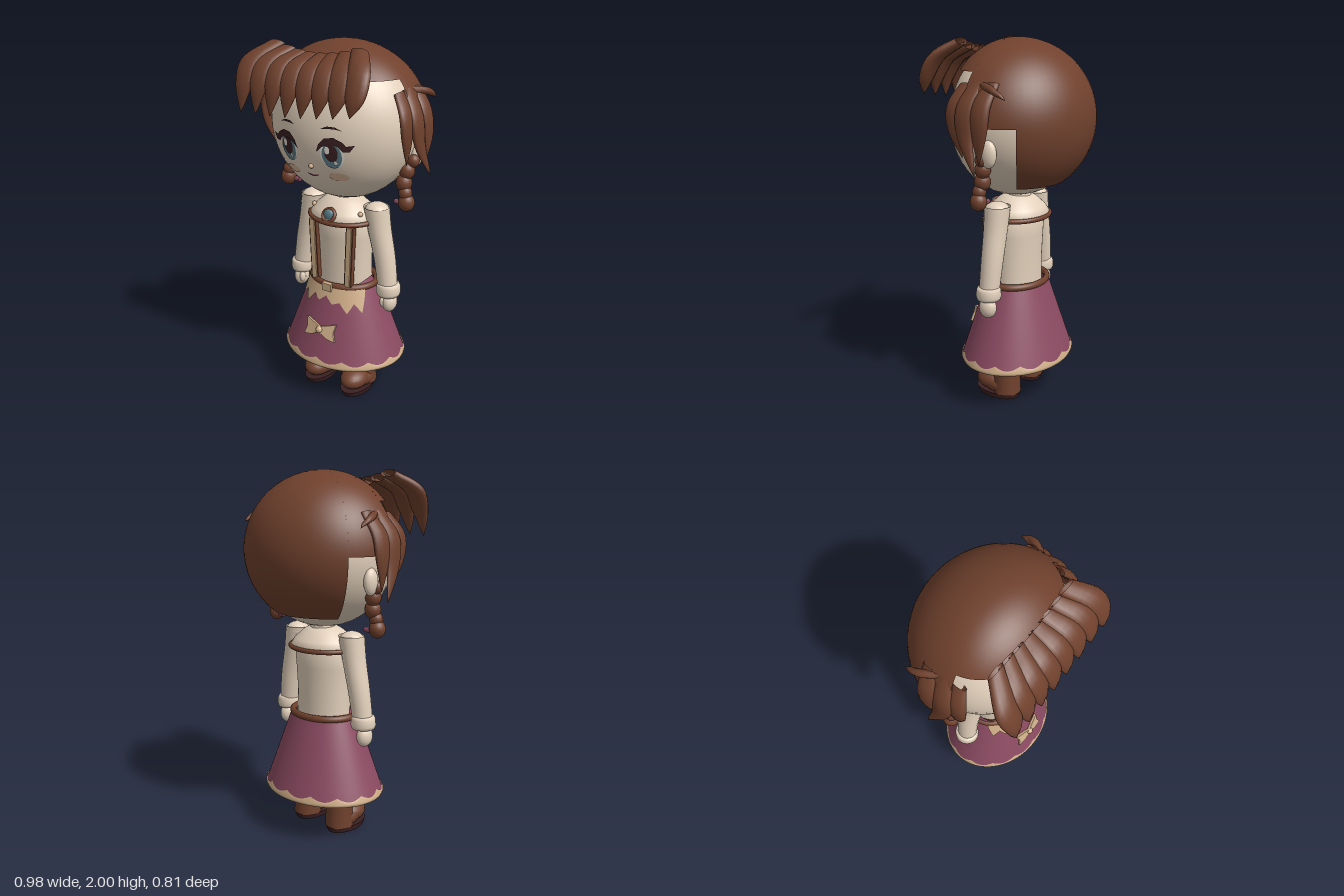
import * as THREE from 'three';
import { mergeVertices } from 'three/addons/utils/BufferGeometryUtils.js';

const flat = (name, color) => new THREE.MeshStandardMaterial({ name, color, side: THREE.DoubleSide });
const V = (x, y, z) => new THREE.Vector3(x, y, z);
const HEAD_Y = 1.58;

// Grid surface from a rule f(u, v), with u and v from 0 to 1
function sheet(f, nu, nv) {
  const pos = [], index = [];
  for (let j = 0; j <= nv; j++) for (let i = 0; i <= nu; i++) pos.push(...f(i / nu, j / nv));
  for (let j = 0; j < nv; j++) for (let i = 0; i < nu; i++) {
    const a = j * (nu + 1) + i, c = a + nu + 1;
    index.push(a, a + 1, c, a + 1, c + 1, c);
  }
  let g = new THREE.BufferGeometry();
  g.setAttribute('position', new THREE.Float32BufferAttribute(pos, 3));
  g.setIndex(index);
  g = mergeVertices(g);
  g.computeVertexNormals();
  return g;
}

// Part of an egg-shaped shell around the head; angles are measured from the front
function headShell(rx, ry, rzFront, rzBack, from, to, yMin) {
  const theta = Math.acos(Math.max(-1, (yMin - HEAD_Y) / ry));
  const g = new THREE.SphereGeometry(1, Math.ceil((to - from) * 9), 28, Math.PI / 2 + from, to - from, 0, theta);
  const p = g.attributes.position, n = g.attributes.normal;
  for (let i = 0; i < p.count; i++) {
    const rz = p.getZ(i) > 0 ? rzFront : rzBack;
    const m = V(n.getX(i) / rx, n.getY(i) / ry, n.getZ(i) / rz).normalize();
    p.setXYZ(i, p.getX(i) * rx, p.getY(i) * ry + HEAD_Y, p.getZ(i) * rz);
    n.setXYZ(i, m.x, m.y, m.z);
  }
  return g;
}

// Tapered hair strand with an oval cross-section
function strand(points, width, thick, side) {
  const curve = new THREE.CatmullRomCurve3(points.map(p => V(...p)));
  return sheet((u, v) => {
    const a = -u * Math.PI * 2, k = (1 - v ** 4) * (0.75 + 0.25 * Math.sin(Math.PI * v));
    const n = curve.getTangent(v).cross(side).normalize();
    return curve.getPoint(v).addScaledVector(side, Math.cos(a) * width * k)
      .addScaledVector(n, Math.sin(a) * thick * k).toArray();
  }, 12, 14);
}

// Lays a flat face detail onto the front of the head
function onFace(g, lift) {
  const p = g.attributes.position;
  for (let i = 0; i < p.count; i++) {
    const x = p.getX(i), y = p.getY(i);
    p.setZ(i, 0.33 * Math.sqrt(Math.max(0, 1 - (x / 0.41) ** 2 - ((y - HEAD_Y) / 0.41) ** 2)) + lift);
  }
  g.computeVertexNormals();
  return g;
}
const oval = (x, y, rx, ry, lift) =>
  onFace(new THREE.CircleGeometry(1, 24).scale(rx, ry, 1).translate(x, y, 0), lift);
const outline = (pts, s = 1) => new THREE.Shape(pts.map(([x, y]) => new THREE.Vector2(s * x, y)));
const decal = (pts, s, lift) => onFace(new THREE.ShapeGeometry(outline(pts, s)), lift);

// Point on the oval skirt cone
function skirtPoint(a, y, lift = 0) {
  const r = 0.19 + 0.38 * (0.7 - y) + lift;
  return [Math.sin(a) * r, y, Math.cos(a) * r * 0.82];
}
const lathe = (pts, zScale) =>
  new THREE.LatheGeometry(pts.map(p => new THREE.Vector2(...p)), 40).scale(1, 1, zScale);
const ball = (x, y, z, rx, ry, rz) => new THREE.SphereGeometry(1, 20, 14).scale(rx, ry, rz).translate(x, y, z);
const hoop = (y, r, tube, zScale) =>
  new THREE.TorusGeometry(r, tube, 10, 48).rotateX(Math.PI / 2).scale(1, 1, zScale).translate(0, y, 0);

export function createModel() {
  const root = new THREE.Group();
  const skin = flat('skin and linen', 0xe2d0bb), brown = flat('hair and leather', 0x70412d);
  const plum = flat('plum cloth', 0x8c4b62), tan = flat('tan trim', 0xcfae88);
  const dark = flat('dark lashes and soles', 0x3b2022), teal = flat('teal', 0x5b7d88);
  const white = flat('eye white', 0xeee8e0), blush = flat('blush', 0xd8b395);
  const add = (name, geometry, material, parent = root) => {
    const m = new THREE.Mesh(geometry, material);
    m.name = name;
    parent.add(m);
    return m;
  };
  const TAU = Math.PI * 2;

  // Head and stepped hair cap
  add('head', headShell(0.41, 0.41, 0.33, 0.385, 0, TAU, 1.17), skin);
  const edge = 1.4, nape = 2.13;
  const cap = (from, to, yMin) => add('hairCap', headShell(0.45, 0.42, 0.345, 0.415, from, to, yMin), brown);
  cap(-edge, edge, 1.84);
  cap(edge, nape, 1.58);
  cap(-nape, -edge, 1.58);
  cap(nape, TAU - nape, 1.25);

  // Swept fringe
  for (let i = 0; i < 8; i++) {
    const t = i / 7, bow = (2 * t - 1) ** 2;
    const top = -0.27 + 0.49 * t, tip = -0.365 + 0.655 * t;
    add('fringeStrand', strand([
      [top, 1.935 + 0.045 * bow, 0.2],
      [top * 0.5 + tip * 0.5 + 0.06 * (t - 0.5), 1.885 + 0.015 * bow, 0.31],
      [tip + 0.01, 1.79, 0.37],
      [tip, 1.65 + 0.06 * t * t, 0.395]], 0.066, 0.032, V(1, 0, 0)), brown);
  }

  // Facial features in the middle
  add('nose', ball(0, 1.41, 0.302, 0.013, 0.013, 0.012), blush);
  add('mouth', decal([[-0.037, 1.366], [0, 1.361], [0.037, 1.366], [0.02, 1.354], [0, 1.35], [-0.02, 1.354]], 1, 0.006), plum);

  for (const s of [1, -1]) {
    // Eye, lashes, brow and cheek
    add('eyeWhite', oval(s * 0.13, 1.49, 0.06, 0.072, 0.004), white);
    add('iris', oval(s * 0.13, 1.485, 0.05, 0.068, 0.007), teal);
    add('pupil', oval(s * 0.13, 1.5, 0.034, 0.046, 0.01), dark);
    add('eyeGlint', oval(s * 0.13 - 0.018, 1.515, 0.014, 0.02, 0.013), white);
    add('eyeGlint', oval(s * 0.13 + 0.02, 1.45, 0.01, 0.012, 0.013), white);
    add('lashes', decal([[0.055, 1.5], [0.072, 1.545], [0.105, 1.577], [0.15, 1.582], [0.19, 1.562], [0.207, 1.542],
      [0.245, 1.548], [0.222, 1.515], [0.192, 1.512], [0.17, 1.538], [0.13, 1.548], [0.09, 1.532]], s, 0.015), dark);
    add('eyebrow', decal([[0.075, 1.617], [0.11, 1.633], [0.15, 1.632], [0.185, 1.615], [0.15, 1.622], [0.11, 1.622]], s, 0.007), dark);
    add('cheek', oval(s * 0.14, 1.365, 0.05, 0.024, 0.004), blush);

    // Ear, side locks and braid
    add('ear', ball(s * 0.395, 1.45, -0.07, 0.03, 0.07, 0.045), skin);
    const lock = (pts, w) => add('sideLock',
      strand(pts.map(([x, y, z]) => [s * x, y, z]), w, 0.024, V(0, 0, 1)), brown);
    lock([[0.36, 1.78, 0.07], [0.42, 1.68, 0.1], [0.43, 1.56, 0.1], [0.415, 1.42, 0.07]], 0.055);
    lock([[0.37, 1.79, 0], [0.44, 1.67, 0.03], [0.46, 1.52, 0.02], [0.49, 1.35, -0.05]], 0.058);
    lock([[0.37, 1.79, -0.08], [0.44, 1.68, -0.06], [0.46, 1.55, -0.06], [0.45, 1.4, -0.05]], 0.055);
    lock([[0.38, 1.78, -0.04], [0.42, 1.76, -0.11], [0.43, 1.72, -0.19]], 0.04);
    for (const [x, y, z, r] of [[0.4, 1.42, -0.03, 0.032], [0.37, 1.365, -0.02, 0.042], [0.36, 1.3, -0.01, 0.043],
      [0.375, 1.25, 0, 0.036], [0.383, 1.2, 0, 0.044]])
      add('braid', ball(s * x, y, z, r, r * 1.1, r), brown);
    add('braidTie', new THREE.CylinderGeometry(0.014, 0.014, 0.09, 10).rotateZ(Math.PI / 2).translate(s * 0.355, 1.19, -0.01), plum);

    // Sleeve, cuff and hand
    const arm = new THREE.CatmullRomCurve3([V(s * 0.205, 1.14, 0), V(s * 0.225, 1.02, 0), V(s * 0.262, 0.85, 0), V(s * 0.288, 0.68, 0.005)]);
    add('sleeve', sheet((u, v) => {
      const p = arm.getPoint(v), r = 0.07 - 0.015 * v, a = u * TAU;
      return [p.x + Math.cos(a) * r, p.y, p.z + Math.sin(a) * r];
    }, 20, 14), skin);
    add('shoulder', ball(s * 0.208, 1.115, 0, 0.068, 0.05, 0.069), skin);
    add('cuff', lathe([[0.05, -0.035], [0.062, -0.033], [0.068, -0.015], [0.066, 0.02], [0.058, 0.036], [0.04, 0.036]], 1)
      .translate(s * 0.292, 0.677, 0.005), skin);
    add('hand', ball(s * 0.302, 0.598, 0.005, 0.04, 0.058, 0.05), skin);
    add('thumb', ball(s * 0.275, 0.605, 0.035, 0.017, 0.035, 0.02), skin);

    // Boot with sole
    add('bootShaft', lathe([[0, 0.42], [0.07, 0.42], [0.085, 0.41], [0.085, 0.37], [0.077, 0.36], [0.076, 0.12], [0.08, 0.03]], 1)
      .translate(s * 0.128, 0, -0.005), brown);
    add('bootToe', ball(s * 0.128, 0.083, 0.085, 0.078, 0.06, 0.1), brown);
    add('bootFoot', ball(s * 0.128, 0.07, 0.03, 0.079, 0.06, 0.115), brown);
    add('sole', new THREE.CylinderGeometry(0.083, 0.075, 0.032, 32).scale(1, 1, 1.68).translate(s * 0.128, 0.016, 0.05), dark);

    // Front strap and collar stud
    const strap = (w, d, z, mat) => {
      const m = add('strap', new THREE.BoxGeometry(w, 0.35, d), mat);
      m.position.set(s * 0.115, 0.865, z);
      m.rotation.z = -s * 0.04;
    };
    strap(0.045, 0.03, 0.122, brown);
    strap(0.03, 0.016, 0.136, tan);
    add('collarStud', ball(s * 0.15, 1.105, 0.075, 0.014, 0.014, 0.014), tan);
  }

  // Torso, neck and collar
  add('torso', lathe([[0.165, 0.66], [0.163, 0.8], [0.172, 0.95], [0.178, 1.03], [0.15, 1.08]], 0.77), skin);
  add('neck', new THREE.CylinderGeometry(0.06, 0.075, 0.12, 24, 1, true).translate(0, 1.16, -0.01), skin);
  add('collar', lathe([[0.17, 1.05], [0.203, 1.055], [0.172, 1.1], [0.12, 1.145], [0.085, 1.165], [0.06, 1.17]], 0.87), skin);
  add('collarTrim', hoop(1.055, 0.198, 0.013, 0.87), brown);
  add('broochRim', new THREE.TorusGeometry(0.036, 0.01, 8, 28).rotateX(-0.5).translate(0, 1.093, 0.152), brown);
  add('brooch', ball(0, 1.093, 0.15, 0.034, 0.034, 0.018), teal);

  // Skirt rising to points at the hips, with a scalloped hem
  add('skirt', sheet((u, v) => {
    const a = u * TAU, top = 0.69 + 0.035 * Math.max(0, Math.sin(a) ** 2 * 2 - 1) * (Math.cos(a) > 0 ? 1 : 0);
    return skirtPoint(a, top + (0.245 - top) * v);
  }, 64, 8), plum);
  add('hem', sheet((u, v) => {
    const a = u * TAU, k = Math.round(v * 3);
    const top = 0.262 + 0.022 * (1 - Math.abs(Math.sin(a * 7)));
    return skirtPoint(a, [top, 0.25, 0.235, 0.245][k], [0.004, 0.007, -0.003, -0.022][k]);
  }, 140, 3), tan);

  // Ragged apron hanging from the belt
  const ragged = [0.66, 0.57, 0.61, 0.555, 0.615, 0.59, 0.625, 0.585, 0.6, 0.545, 0.6, 0.55, 0.66];
  add('apron', sheet((u, v) => {
    const i = Math.min(11, Math.floor(u * 12)), low = THREE.MathUtils.lerp(ragged[i], ragged[i + 1], u * 12 - i);
    return skirtPoint((u - 0.5) * 2.2, 0.69 + (low - 0.69) * v, 0.007);
  }, 48, 4), tan);

  // Belt, buckle and bow
  add('belt', hoop(0, 0.19, 0.02, 0.82).translate(0, 0.678, 0), brown);
  add('buckle', new THREE.BoxGeometry(0.058, 0.045, 0.02).translate(0, 0.675, 0.175), tan);
  const bow = new THREE.Group();
  bow.name = 'bow';
  bow.position.set(0, 0.44, 0.245);
  bow.rotation.x = -0.3;
  root.add(bow);
  const wing = [[0, 0.018], [0.095, 0.05], [0.085, 0.0], [0.1, -0.05], [0.05, -0.042], [0, -0.016]];
  for (const s of [1, -1]) {
    const g = new THREE.ExtrudeGeometry(outline(wing, s), { depth: 0.015, bevelEnabled: false });
    add('bowWing', g, tan, bow).rotation.y = s * 0.15;
  }
  add('bowKnot', ball(0, 0, 0.012, 0.02, 0.02, 0.018), tan, bow);
  return root;
}
